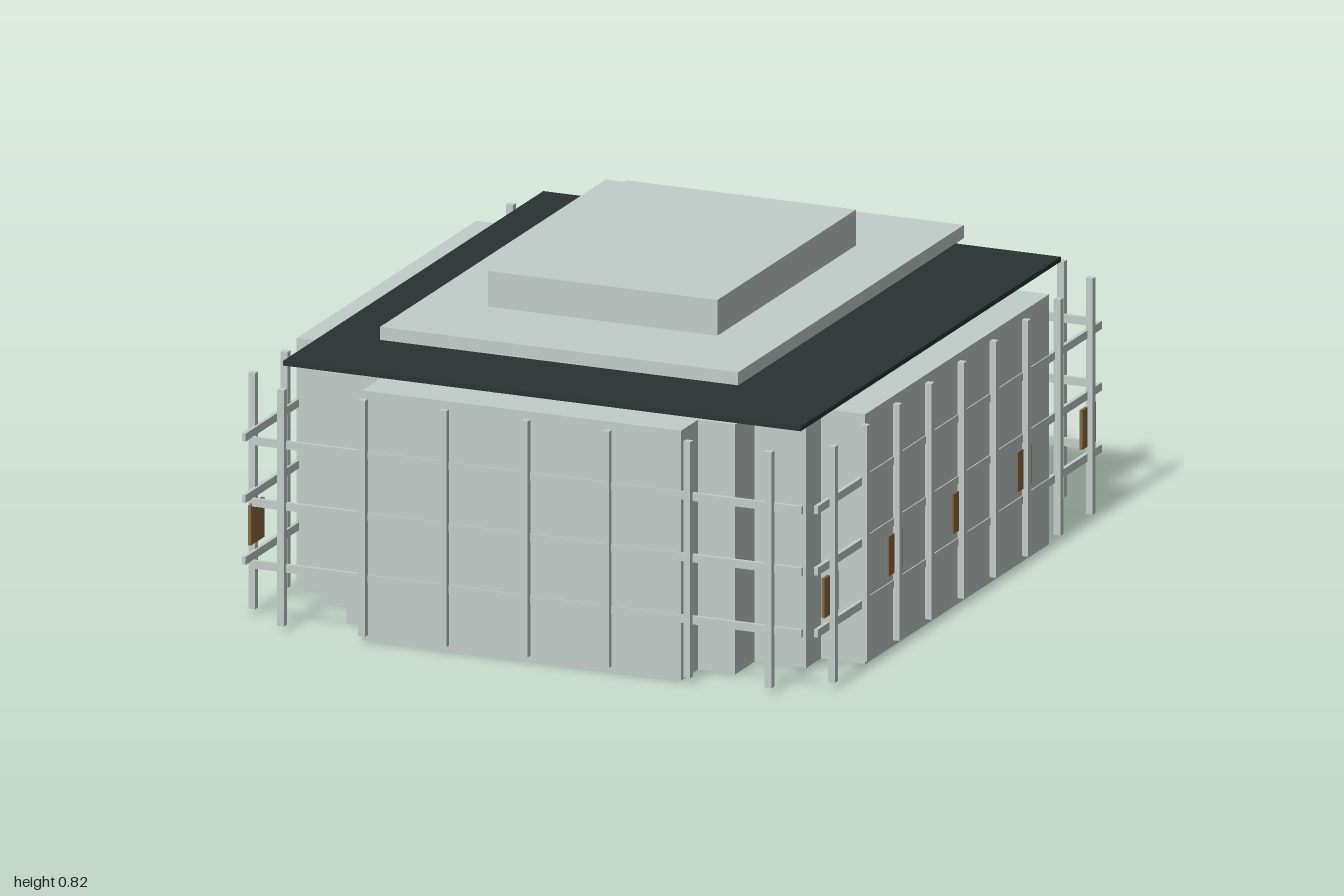
import * as THREE from 'three';

const paint = (name, color) => {
  const m = new THREE.MeshStandardMaterial({ color });
  m.name = name;
  return m;
};

const HALF_X = 0.867, HALF_Z = 0.757;   // outer wall faces
const STEP_X = [0, 0.333, 0.71, 1];     // where the corner steps fall
const STEP_Z = [0, 0.28, 0.667, 1];

// Floor plan: a broad cross whose four corners are three-step staircases.
// Each entry: [sign x, sign z, half width of long wall, half width of short wall]
function floorPlan() {
  const quadrants = [
    [1, -1, 0.546, 0.44],
    [-1, -1, 0.53, 0.436],
    [-1, 1, 0.56, 0.406],
    [1, 1, 0.54, 0.37],
  ];
  const points = [];
  for (const [sx, sz, wallX, wallZ] of quadrants) {
    const corner = [];
    const u = (k) => HALF_X + (wallX - HALF_X) * STEP_X[k];
    const v = (k) => wallZ + (HALF_Z - wallZ) * STEP_Z[k];
    for (let k = 0; k <= 3; k++) {
      if (k > 0) corner.push([u(k), v(k - 1)]);
      corner.push([u(k), v(k)]);
    }
    if (sx * sz > 0) corner.reverse();
    for (const [x, z] of corner) points.push(new THREE.Vector2(sx * x, -sz * z));
  }
  return new THREE.Shape(points);
}

export function createModel() {
  const concrete = paint('pale concrete', 0xc2cdc8);
  const slate = paint('dark roof', 0x2a3332);
  const timber = paint('brown timber', 0x876a40);

  const model = new THREE.Group();
  model.name = 'building';
  const house = new THREE.Group();
  house.name = 'turnedBuilding';
  house.rotation.y = 0.2;
  model.add(house);

  const add = (parent, name, geometry, material, x, y, z) => {
    const mesh = new THREE.Mesh(geometry, material);
    mesh.name = name;
    mesh.position.set(x, y, z);
    parent.add(mesh);
  };
  const slab = (name, w, d, y0, y1, material) =>
    add(house, name, new THREE.BoxGeometry(w, y1 - y0, d), material, 0, (y0 + y1) / 2, 0);

  // Solid walls
  const walls = new THREE.ExtrudeGeometry(floorPlan(), { depth: 0.63, bevelEnabled: false });
  walls.rotateX(-Math.PI / 2);
  add(house, 'walls', walls, concrete, 0, 0, 0);

  // Roof sheet and the two raised blocks
  slab('roof', 1.556, 1.366, 0.638, 0.65, slate);
  slab('upperSlab', 1.35, 0.945, 0.7, 0.733, concrete);
  slab('roofBlock', 0.83, 0.606, 0.733, 0.823, concrete);

  // Scaffold on one side, built facing +z then turned into place
  const postGeometry = new THREE.BoxGeometry(0.018, 0.595, 0.018);
  const hatchGeometry = new THREE.BoxGeometry(0.082, 0.1, 0.008);
  function scaffold(name, turn, face, railLength, postSpan, posts, hatches) {
    const side = new THREE.Group();
    side.name = name;
    side.rotation.y = turn;
    const rail = new THREE.BoxGeometry(railLength, 0.02, 0.01);
    for (const y of [0.157, 0.313, 0.468]) add(side, 'rail', rail, concrete, 0, y, face - 0.002);
    for (let i = 0; i < posts; i++) {
      const x = postSpan * (i / (posts - 1) - 0.5);
      add(side, 'post', postGeometry, concrete, x, 0.3125, face + 0.008);
      if (hatches && i % 2 === 0) add(side, 'hatch', hatchGeometry, timber, x, 0.235, face);
    }
    house.add(side);
  }
  scaffold('frontScaffold', 0, HALF_Z, 1.7, 1.542, 9, true);
  scaffold('backScaffold', Math.PI, HALF_Z, 1.7, 1.542, 9, true);
  scaffold('leftScaffold', Math.PI / 2, HALF_X, 1.45, 1.287, 7, false);
  scaffold('rightScaffold', -Math.PI / 2, HALF_X, 1.45, 1.287, 7, false);

  return model;
}
